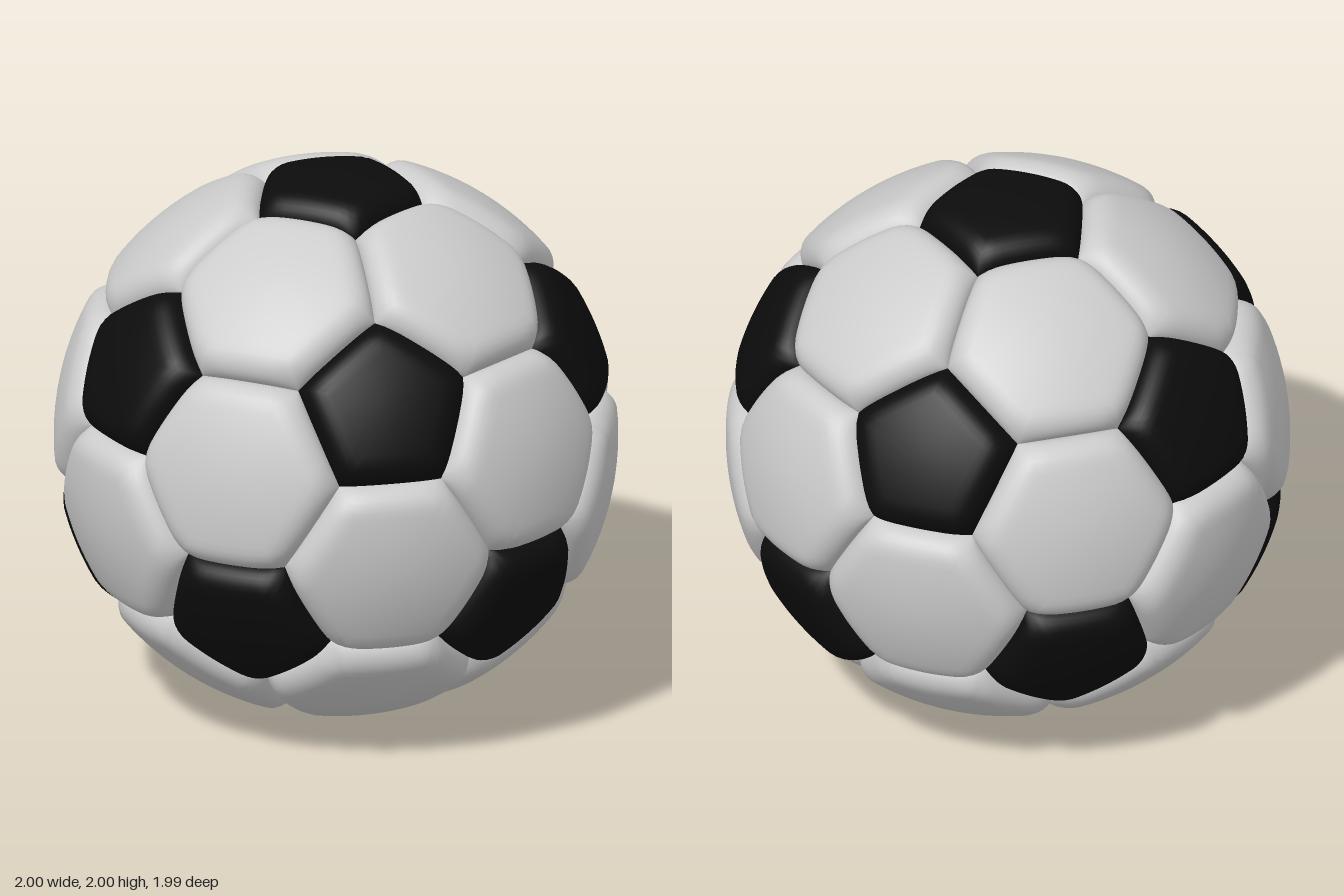
import * as THREE from 'three';

const SEAM = 0.915;  // radius at the bottom of the seams
const PUFF = 0.085;  // height of the panels above the seams
const BAND = 0.1;    // width of the rounded panel border
const RINGS = 14, SEGS = 12;

// Sort corner directions counter-clockwise round their centre, seen from outside
function sortCorners(corners, c) {
  const u = corners[0].clone().addScaledVector(c, -corners[0].dot(c)).normalize();
  const v = new THREE.Vector3().crossVectors(c, u);
  const angle = (p) => Math.atan2(p.dot(v), p.dot(u));
  return [...corners].sort((a, b) => angle(a) - angle(b));
}

// Puffed spherical polygon: concentric rings that drop in a rounded border to the seam
function panelGeometry(points) {
  const c = points.reduce((s, p) => s.add(p), new THREE.Vector3()).normalize();
  const corners = sortCorners(points, c);
  const n = corners.length, count = n * SEGS;
  const sides = corners.map((p, i) =>
    new THREE.Vector3().crossVectors(p, corners[(i + 1) % n]).normalize());
  const radius = (dir) => sides.reduce((f, s) => {
    const k = 1 - THREE.MathUtils.clamp(dir.dot(s) / BAND, 0, 1);
    return f * Math.sqrt(1 - k * k);
  }, 1) * PUFF + SEAM;

  const pos = [], index = [];
  const add = (dir) => pos.push(...dir.multiplyScalar(radius(dir)).toArray());
  add(c.clone());
  for (let r = 1; r <= RINGS; r++) {
    const t = 1 - (1 - r / RINGS) ** 2; // rings crowd towards the border
    for (let i = 0; i < count; i++) {
      const k = Math.floor(i / SEGS);
      const edge = corners[k].clone().lerp(corners[(k + 1) % n], (i % SEGS) / SEGS);
      add(c.clone().lerp(edge, t).normalize());
    }
  }
  for (let i = 0; i < count; i++) {
    const j = (i + 1) % count;
    index.push(0, 1 + i, 1 + j);
    for (let r = 0; r < RINGS - 1; r++) {
      const a = 1 + r * count, b = a + count;
      index.push(a + i, b + i, b + j, a + i, b + j, a + j);
    }
  }
  const g = new THREE.BufferGeometry();
  g.setAttribute('position', new THREE.Float32BufferAttribute(pos, 3));
  g.setIndex(index);
  g.computeVertexNormals();
  return g;
}

export function createModel() {
  const group = new THREE.Group();
  group.name = 'ball';
  const white = new THREE.MeshStandardMaterial({ color: 0xcccccc });
  const black = new THREE.MeshStandardMaterial({ color: 0x0c0c0c });

  // Icosahedron directions: two poles and two staggered rings of five
  const verts = [new THREE.Vector3(0, 1, 0), new THREE.Vector3(0, -1, 0)];
  const h = 1 / Math.sqrt(5);
  for (let i = 0; i < 10; i++) {
    const a = i * Math.PI / 5;
    verts.push(new THREE.Vector3(2 * h * Math.cos(a), i % 2 ? -h : h, 2 * h * Math.sin(a)));
  }
  const near = (a, b) => a !== b && a.dot(b) > 0.4;
  const third = (a, b) => a.clone().lerp(b, 1 / 3).normalize();

  const addPanel = (name, points, material) => {
    const mesh = new THREE.Mesh(panelGeometry(points), material);
    mesh.name = name;
    mesh.position.y = 1;
    group.add(mesh);
  };

  // Twelve dark pentagons, one on each icosahedron corner
  verts.forEach((v, i) => addPanel(`pentagonPanel${i + 1}`,
    verts.filter((w) => near(v, w)).map((w) => third(v, w)), black));

  // Twenty light hexagons, one on each icosahedron face
  let count = 0;
  verts.forEach((a, i) => verts.slice(i + 1).forEach((b, j) => {
    if (!near(a, b)) return;
    verts.slice(i + j + 2).forEach((c) => {
      if (!near(a, c) || !near(b, c)) return;
      const points = [[a, b], [b, a], [b, c], [c, b], [c, a], [a, c]].map(([p, q]) => third(p, q));
      addPanel(`hexagonPanel${++count}`, points, white);
    });
  }));
  return group;
}
